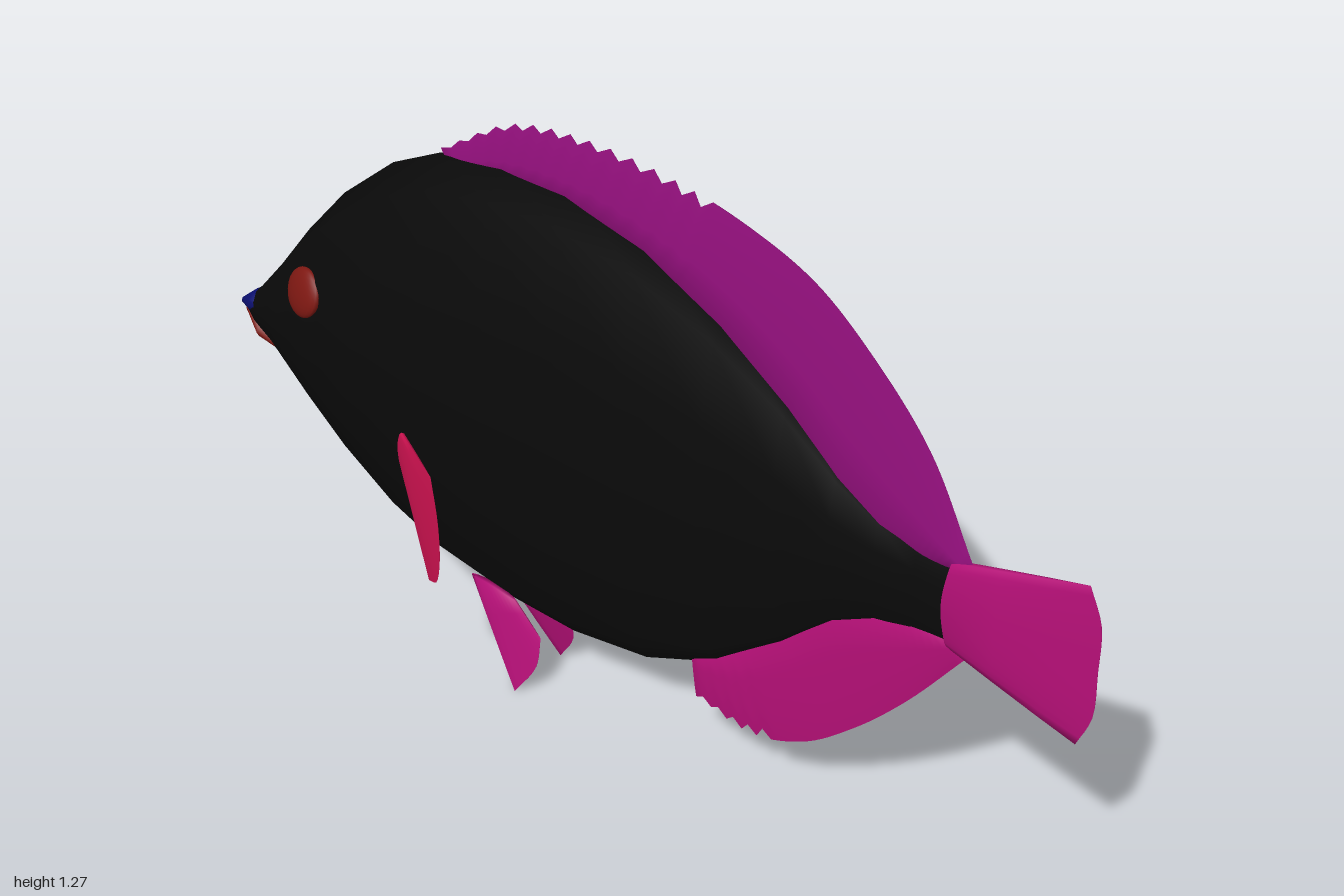
import * as THREE from 'three';

const mat = (name, color) => Object.assign(new THREE.MeshStandardMaterial({ color }), { name });
const V = (x, y, z) => new THREE.Vector3(x, y, z);

// Skin a list of equal-sized closed rings, cap both ends, and face it outward
function loft(rings) {
  const n = rings[0].length, pos = [], idx = [];
  rings.forEach(r => r.forEach(p => pos.push(p.x, p.y, p.z)));
  for (let i = 0; i < rings.length - 1; i++) {
    for (let j = 0; j < n; j++) {
      const a = i * n + j, b = i * n + (j + 1) % n;
      idx.push(a, b, b + n, a, b + n, a + n);
    }
  }
  const last = (rings.length - 1) * n;
  for (let j = 1; j < n - 1; j++) idx.push(0, j + 1, j, last, last + j, last + j + 1);
  const P = k => V(pos[3 * k], pos[3 * k + 1], pos[3 * k + 2]);
  let volume = 0;
  for (let k = 0; k < idx.length; k += 3) volume += P(idx[k]).dot(P(idx[k + 1]).cross(P(idx[k + 2])));
  if (volume < 0) idx.reverse();
  const g = new THREE.BufferGeometry();
  g.setAttribute('position', new THREE.Float32BufferAttribute(pos, 3));
  g.setIndex(idx);
  g.computeVertexNormals();
  return g;
}

// Twelve-sided, narrow oval section: [height share, width share]
const half = [[1, 0], [0.87, 0.41], [0.46, 0.84], [0, 1], [-0.5, 0.84], [-0.88, 0.41], [-1, 0]];
const section = [...half, ...half.slice(1, 6).reverse().map(([h, w]) => [h, -w])];
const bodyRing = ([z, top, bottom, w]) => section.map(([h, s]) =>
  V(s * w, (top + bottom) / 2 + h * (top - bottom) / 2, z));

// Fin between a root curve and a tip curve, thick at the root and sharp at the tip
function fin(root, tip, normal, thick, steps, notch = () => 0) {
  const a = new THREE.CatmullRomCurve3(root), b = new THREE.CatmullRomCurve3(tip);
  const profile = [[0, 1], [0.35, 0.9], [0.7, 0.6], [1, 0.04]];
  const rings = [];
  for (let i = 0; i <= steps; i++) {
    const u = i / steps, r = a.getPoint(u), t = b.getPoint(u);
    t.lerp(r, notch(u, i));
    const w = thick * (0.3 + 0.7 * Math.sqrt(Math.max(0, Math.sin(Math.PI * u))));
    const side = s => profile.map(([k, h]) => r.clone().lerp(t, k).addScaledVector(normal, s * h * w));
    rings.push([...side(1), ...side(-1).reverse()]);
  }
  return loft(rings);
}

const flat = pts => pts.map(([z, y]) => V(0, y, z));

export function createModel() {
  const black = mat('bodyBlack', 0x0a0a0a);
  const purple = mat('dorsalPurple', 0x96107f);
  const magenta = mat('finMagenta', 0xb81079);
  const crimson = mat('pectoralCrimson', 0xdc1456);
  const red = mat('eyeRed', 0x7e1812);
  const blue = mat('lipBlue', 0x0c1072);

  const model = new THREE.Group();
  model.name = 'fish';
  const add = (name, geometry, material) => {
    const m = new THREE.Mesh(geometry, material);
    m.name = name;
    model.add(m);
    return m;
  };

  // Body stations from tail to snout: z, top, bottom, half width
  add('body', loft([
    [0.72, 0.735, 0.555, 0.012], [0.63, 0.745, 0.545, 0.018], [0.55, 0.765, 0.53, 0.026],
    [0.46, 0.825, 0.48, 0.038], [0.35, 0.93, 0.375, 0.054], [0.2, 1.04, 0.26, 0.075],
    [0.03, 1.125, 0.185, 0.094], [-0.15, 1.165, 0.16, 0.108], [-0.3, 1.16, 0.168, 0.116],
    [-0.45, 1.125, 0.2, 0.12], [-0.57, 1.06, 0.258, 0.12], [-0.7, 0.945, 0.345, 0.1],
    [-0.8, 0.825, 0.43, 0.08], [-0.88, 0.715, 0.51, 0.057], [-0.94, 0.64, 0.55, 0.035],
    [-0.985, 0.595, 0.575, 0.006]
  ].map(bodyRing)), black);

  // Lips
  add('upperLip', loft([[-0.925, 0.635, 0.585, 0.034], [-0.955, 0.628, 0.58, 0.033],
    [-0.998, 0.59, 0.578, 0.004]].map(bodyRing)), blue);
  add('lowerLip', loft([[-0.885, 0.535, 0.505, 0.016], [-0.93, 0.572, 0.53, 0.036],
    [-0.985, 0.582, 0.565, 0.006]].map(bodyRing)), red);

  // Dorsal fin, with a toothed front half
  const X = V(1, 0, 0);
  add('dorsalFin', fin(
    flat([[0.72, 0.72], [0.6, 0.73], [0.46, 0.8], [0.35, 0.9], [0.2, 1.01], [0.03, 1.09],
      [-0.15, 1.13], [-0.3, 1.125], [-0.42, 1.1]]),
    flat([[0.74, 0.745], [0.64, 0.94], [0.51, 1.085], [0.39, 1.18], [0.25, 1.235], [0.09, 1.268],
      [-0.1, 1.277], [-0.27, 1.25], [-0.45, 1.135]]),
    X, 0.012, 64, (u, i) => (u > 0.57 && i % 2 ? 0.12 : 0)), purple);

  // Anal fin, toothed at its front end
  add('analFin', fin(
    flat([[0.72, 0.57], [0.6, 0.56], [0.46, 0.51], [0.35, 0.41], [0.24, 0.31], [0.14, 0.25]]),
    flat([[0.74, 0.54], [0.62, 0.38], [0.51, 0.26], [0.4, 0.17], [0.28, 0.127], [0.15, 0.15]]),
    X, 0.011, 36, (u, i) => (u > 0.72 && i % 2 ? 0.1 : 0)), magenta);

  // Tail fin
  add('tailFin', fin(
    flat([[0.7, 0.735], [0.69, 0.645], [0.7, 0.55]]),
    flat([[0.97, 0.813], [0.998, 0.74], [1, 0.64], [0.998, 0.54], [0.97, 0.467]]),
    X, 0.016, 16), magenta);

  // Paired fins and eyes
  for (const [side, s] of [['left', 1], ['right', -1]]) {
    const pec = pts => pts.map(([z, y]) => V(s * (0.108 + (z + 0.48) * 0.72), y, z));
    add(side + 'PectoralFin', fin(
      pec([[-0.485, 0.545], [-0.49, 0.5], [-0.485, 0.455]]),
      pec([[-0.275, 0.618], [-0.237, 0.55], [-0.232, 0.47], [-0.26, 0.39], [-0.32, 0.338]]),
      V(s * 0.81, 0, -0.58), 0.008, 14), crimson);

    const pel = pts => pts.map(([z, y]) => V(s * (0.035 + (0.2 - y) * 0.185), y, z));
    add(side + 'PelvicFin', fin(
      pel([[-0.27, 0.2], [-0.33, 0.21], [-0.38, 0.21]]),
      pel([[-0.197, 0.145], [-0.2, 0.08], [-0.245, 0.005]]),
      V(s * 0.98, 0.18, 0), 0.007, 10), magenta);

    const eye = add(side + 'Eye', new THREE.SphereGeometry(0.05, 20, 14), red);
    eye.scale.set(1, 1, 0.34);
    eye.position.set(s * 0.079, 0.742, -0.747);
    eye.lookAt(s * 1.079, 1.05, -1.02);
  }
  return model;
}
